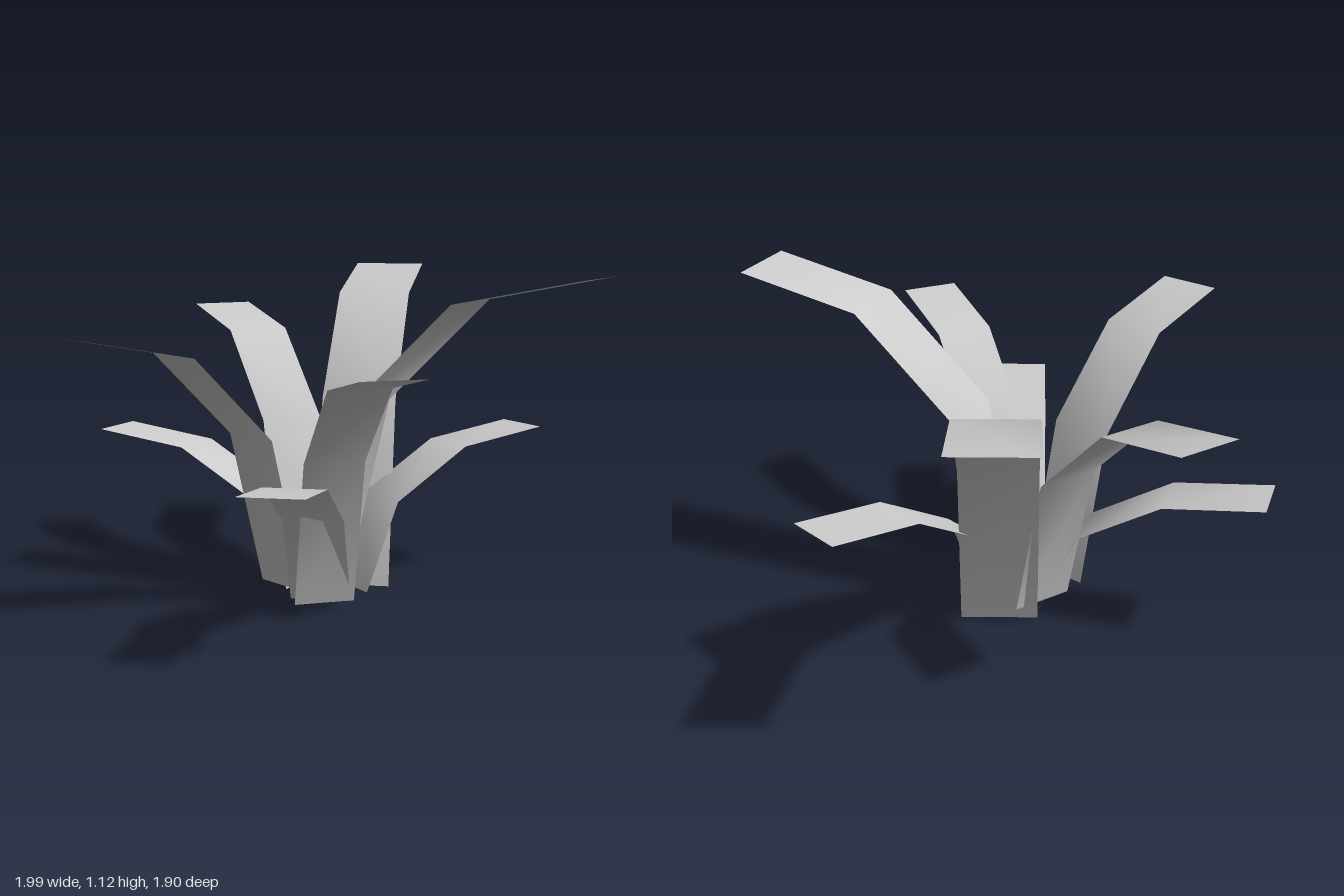
import * as THREE from 'three';

// Shared blade profile: [fraction of reach, fraction of rise]
const PROFILE = [[0, 0], [0.168, 0.592], [0.55, 0.919], [1, 1]];

// Each blade: base centre x, z; tip centre x, z; base height, tip height; width
const BLADES = [
  [-0.058, -0.025, 0.127, 0.925, 0.04, 1.123, 0.27],
  [0.102, -0.063, 0.922, -0.600, 0.00, 1.085, 0.265],
  [-0.007, -0.170, 0.283, -0.912, 0.05, 0.945, 0.22],
  [-0.072, -0.145, -0.287, -0.870, 0.03, 0.532, 0.204],
  [0.010, 0.016, 0.745, 0.200, 0.03, 0.535, 0.206],
  [-0.174, 0.049, -0.810, 0.460, 0.025, 0.532, 0.204],
  [-0.203, 0.095, -0.585, 0.728, 0.03, 0.867, 0.204],
  [-0.196, -0.107, -0.990, -0.180, 0.05, 0.945, 0.221],
];

// Flat strip that rises steeply, then arches outward
function bladeGeometry([bx, bz, tx, tz, y0, y1, width]) {
  const dx = tx - bx, dz = tz - bz, len = Math.hypot(dx, dz);
  const sx = (-dz / len) * width / 2, sz = (dx / len) * width / 2;
  const pos = [], index = [];
  PROFILE.forEach(([t, h], i) => {
    const x = bx + dx * t, y = y0 + (y1 - y0) * h, z = bz + dz * t;
    pos.push(x - sx, y, z - sz, x + sx, y, z + sz);
    if (i > 0) {
      const a = 2 * (i - 1);
      index.push(a, a + 1, a + 2, a + 1, a + 3, a + 2);
    }
  });
  const g = new THREE.BufferGeometry();
  g.setAttribute('position', new THREE.Float32BufferAttribute(pos, 3));
  // wind the strip so its front side faces up
  for (let i = 0; i < index.length; i += 3) {
    [index[i + 1], index[i + 2]] = [index[i + 2], index[i + 1]];
  }
  g.setIndex(index);
  g.computeVertexNormals();
  return g;
}

export function createModel() {
  const plant = new THREE.Group();
  plant.name = 'plant';
  const material = new THREE.MeshStandardMaterial({ color: 0xcccccc, side: THREE.DoubleSide });
  BLADES.forEach((blade, i) => {
    const mesh = new THREE.Mesh(bladeGeometry(blade), material);
    mesh.name = `leaf${i + 1}`;
    plant.add(mesh);
  });
  return plant;
}
